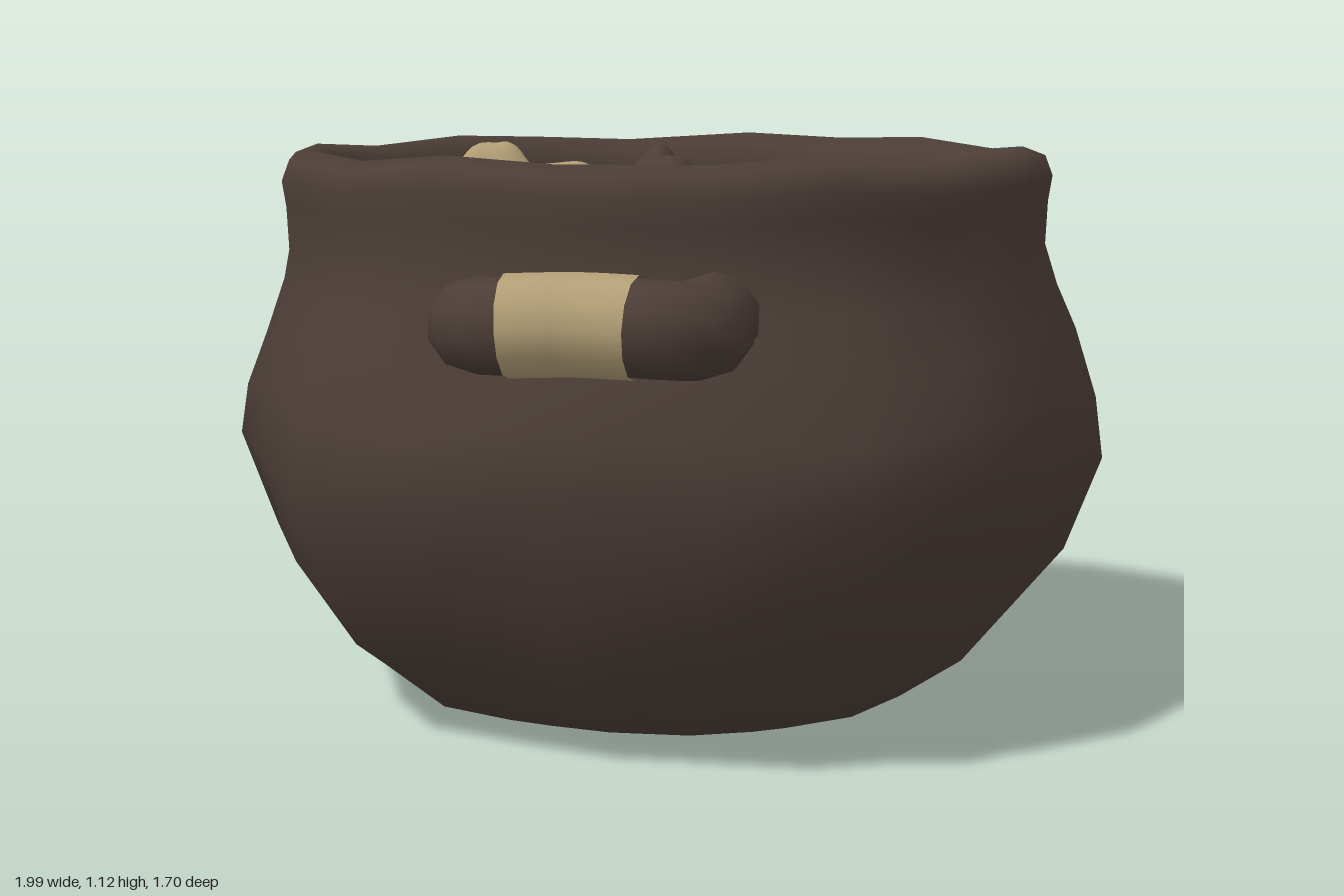
import * as THREE from 'three';

const iron = new THREE.MeshStandardMaterial({ color: 0x4c3e37 });
iron.name = 'dark iron';
const stew = new THREE.MeshStandardMaterial({ color: 0xb39f77 });
stew.name = 'tan stew';

// Closed rings of points joined into a smooth skin; isSecond(x, z) picks faces for material 1
function loft(rows, cols, point, isSecond) {
  const pos = [], groups = [[], []];
  for (let i = 0; i < rows; i++) for (let j = 0; j < cols; j++) pos.push(...point(i, j));
  const addFace = (...t) => {
    const mid = (k) => t.reduce((s, v) => s + pos[v * 3 + k], 0) / 3;
    groups[isSecond && isSecond(mid(0), mid(2)) ? 1 : 0].push(...t);
  };
  for (let i = 0; i < rows - 1; i++) for (let j = 0; j < cols; j++) {
    const k = (j + 1) % cols;
    const a = i * cols + j, b = i * cols + k, c = a + cols, d = b + cols;
    addFace(a, c, b);
    addFace(b, c, d);
  }
  const geo = new THREE.BufferGeometry();
  geo.setAttribute('position', new THREE.Float32BufferAttribute(pos, 3));
  geo.setIndex([...groups[0], ...groups[1]]);
  if (isSecond) {
    geo.addGroup(0, groups[0].length, 0);
    geo.addGroup(groups[0].length, groups[1].length, 1);
  }
  geo.computeVertexNormals();
  return geo;
}

// Distance from (x, z) to a polyline of [x, z] points
function lineDistance(x, z, pts) {
  let best = Infinity;
  for (let i = 0; i < pts.length - 1; i++) {
    const [ax, az] = pts[i], [bx, bz] = pts[i + 1];
    const dx = bx - ax, dz = bz - az;
    const t = THREE.MathUtils.clamp(((x - ax) * dx + (z - az) * dz) / (dx * dx + dz * dz), 0, 1);
    best = Math.min(best, Math.hypot(x - ax - t * dx, z - az - t * dz));
  }
  return best;
}

// Dented pot: one profile, with a lumpy outline that repeats every half turn
function makePot() {
  const angles = [-2, 16, 38, 60, 84, 104.5, 120.6, 138, 160];
  const belly = [0.85, 0.875, 0.825, 0.88, 0.845, 0.88, 0.88, 0.87, 0.845];
  // radius, height, share of the lumpy outline
  const profile = [
    [0, 0.005, 0], [0.4, 0.005, 1], [0.53, 0.045, 1], [0.66, 0.15, 1], [0.78, 0.31, 1],
    [0.85, 0.51, 1], [0.835, 0.63, 1], [0.802, 0.75, 0.7], [0.775, 0.84, 0.3], [0.758, 0.92, 0],
    [0.762, 1.0, 0], [0.77, 1.05, 0], [0.755, 1.09, 0], [0.71, 1.107, 0], [0.675, 1.085, 0],
    [0.655, 1.04, 0], [0.65, 0.96, 0], [0.65, 0.88, 0],
  ];
  // Fuller lower corner at the back left
  const foot = { 15: 1.18, 16: 1.15 };
  const n = angles.length;
  return loft(profile.length, n * 2, (i, j) => {
    const [r, y, share] = profile[i];
    const a = THREE.MathUtils.degToRad(angles[j % n] + (j >= n ? 180 : 0));
    let radius = r * (1 + share * (belly[j % n] / 0.85 - 1));
    if (i === 2) radius *= foot[j] ?? 1;
    if (i === 3) radius *= 0.5 + 0.5 * (foot[j] ?? 1);
    const wobble = y > 0.98 ? 0.009 * Math.sin(j * 2.3) : y > 0.1 && y < 0.8 ? 0.02 * Math.sin(j * 1.9 + i) : 0;
    return [radius * Math.cos(a), y + wobble, radius * Math.sin(a)];
  });
}

// Lumps and fins standing in the stew: path, height, width
const darkChunk = [[-0.3, 0.18], [-0.37, 0.23], [-0.44, 0.33]];
const lumps = [
  { path: darkChunk, h: 0.14, w: 0.07 },
  { path: [[-0.19, -0.56], [-0.14, -0.38], [-0.06, -0.27], [0.02, -0.2]], h: 0.08, w: 0.045 },
  { path: [[-0.11, -0.38], [-0.09, -0.34]], h: 0.08, w: 0.055 },
  { path: [[-0.24, 0.19], [-0.1, 0.15]], h: 0.05, w: 0.05 },
  { path: [[-0.39, -0.21], [-0.35, -0.2]], h: 0.08, w: 0.06 },
  { path: [[-0.3, -0.1], [-0.22, -0.07]], h: 0.08, w: 0.09 },
  { path: [[-0.28, -0.1], [-0.12, -0.03]], h: 0.04, w: 0.05 },
  { path: [[0.18, 0.02], [0.26, 0.1], [0.34, 0.18]], h: 0.09, w: 0.065 },
  { path: [[0.2, -0.05], [0.34, 0.0], [0.4, 0.12]], h: 0.04, w: 0.06 },
  { path: [[0.46, 0.23], [0.54, 0.21]], h: 0.05, w: 0.045 },
  { path: [[-0.24, 0.41], [-0.12, 0.44]], h: 0.05, w: 0.12 },
  { path: [[0.03, 0.2], [0.12, 0.33], [0.26, 0.42]], h: 0.03, w: 0.06 },
  { path: [[0.2, -0.42], [0.35, -0.35]], h: 0.03, w: 0.11 },
];

function stewHeight(x, z) {
  let y = 0.965 + 0.01 * Math.sin(9 * x + 2) * Math.cos(8 * z);
  for (const { path, h, w } of lumps) y += h * Math.exp(-((lineDistance(x, z, path) / w) ** 2.6));
  return y;
}

// Dark chunk and bare patches along the wall
function isBare(x, z) {
  const r = Math.hypot(x, z), a = Math.atan2(z, x);
  return lineDistance(x, z, darkChunk) < 0.065
    || (r > 0.615 && a > 1.95 && a < 2.5)
    || r > 0.632 + 0.012 * Math.sin(a * 11);
}

function makeStew() {
  const rows = 81, cols = 200;
  return loft(rows, cols, (i, j) => {
    const r = 0.665 * (1 - i / (rows - 1)), a = (j / cols) * Math.PI * 2;
    const x = r * Math.cos(a), z = r * Math.sin(a);
    return [x, stewHeight(x, z), z];
  }, isBare);
}

// Bracket handle with a tan band on its grip; side = 1 for left, -1 for right
function makeHandle(side, bandFrom, bandTo) {
  const handle = new THREE.Group();
  const at = (x, z, y = 0.84) => new THREE.Vector3(x * side, y, z * side);
  const curve = new THREE.CatmullRomCurve3([
    at(0.5, -0.47), at(0.62, -0.535), at(0.745, -0.6), at(0.8, -0.57, 0.845),
    at(0.855, -0.435, 0.85), at(0.915, -0.3, 0.845), at(0.885, -0.235), at(0.76, -0.15, 0.83), at(0.62, -0.06, 0.82),
  ], false, 'centripetal');
  const bar = new THREE.Mesh(new THREE.TubeGeometry(curve, 40, 0.082, 10), iron);
  bar.name = 'handleBar';
  // The band follows the same curve between two parameters
  const steps = [0, 0.25, 0.5, 0.75, 1].map((s) => curve.getPoint(THREE.MathUtils.lerp(bandFrom, bandTo, s)));
  const band = new THREE.Mesh(new THREE.TubeGeometry(new THREE.CatmullRomCurve3(steps), 8, 0.088, 12), stew);
  band.name = 'handleBand';
  handle.add(bar, band);
  return handle;
}

export function createModel() {
  const model = new THREE.Group();
  model.name = 'stewPot';

  const pot = new THREE.Mesh(makePot(), iron);
  pot.name = 'pot';
  const filling = new THREE.Mesh(makeStew(), [stew, iron]);
  filling.name = 'stew';

  const leftHandle = makeHandle(1, 0.395, 0.53);
  leftHandle.name = 'leftHandle';
  const rightHandle = makeHandle(-1, 0.42, 0.6);
  rightHandle.name = 'rightHandle';

  model.add(pot, filling, leftHandle, rightHandle);
  return model;
}
